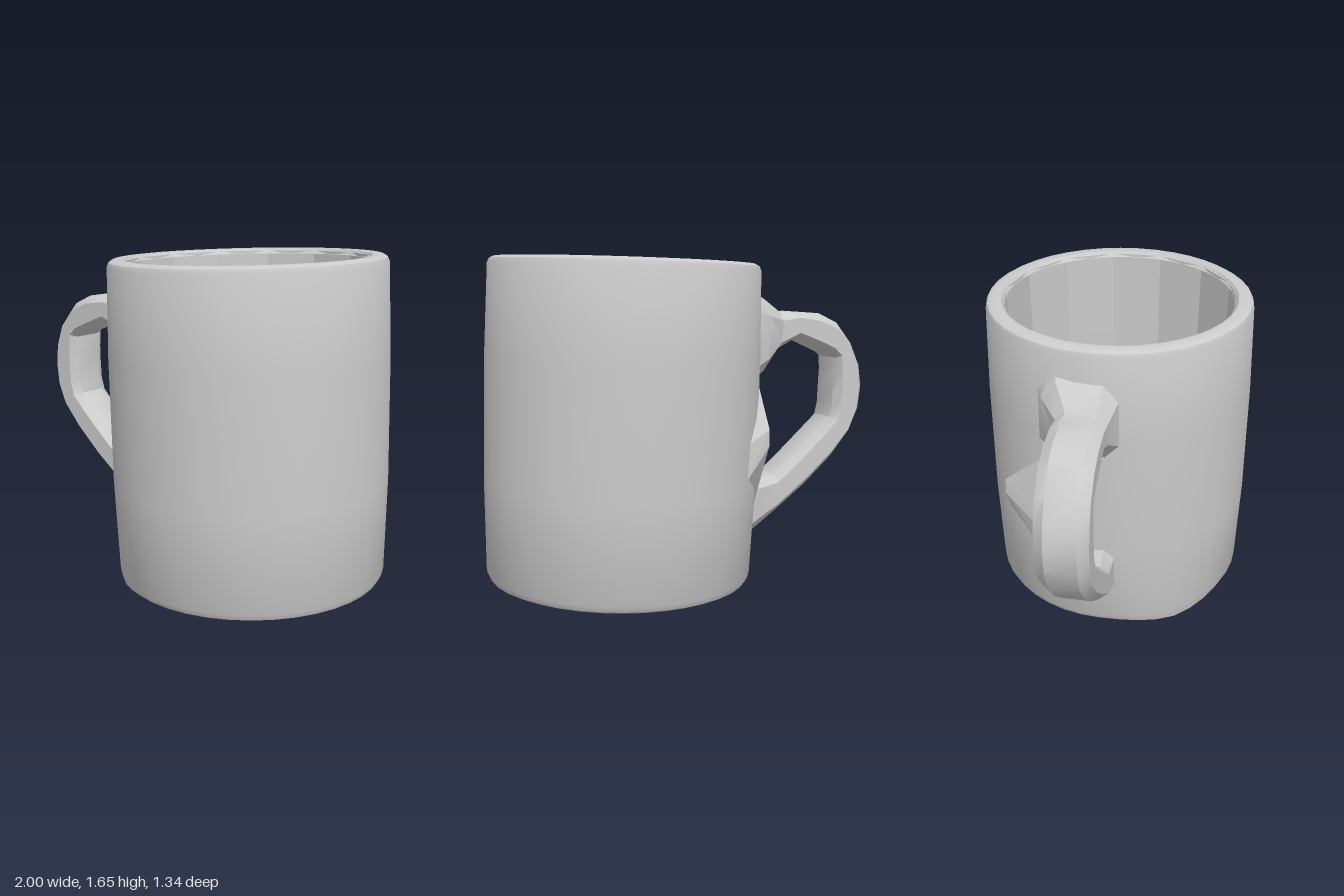
import * as THREE from 'three';
import { toCreasedNormals } from 'three/addons/utils/BufferGeometryUtils.js';
import { ConvexGeometry } from 'three/addons/geometries/ConvexGeometry.js';

const grey = new THREE.MeshStandardMaterial({ color: 0xcccccc });
const flatGrey = new THREE.MeshStandardMaterial({ color: 0xcccccc, flatShading: true });

function part(name, geometry, material = grey) {
  const mesh = new THREE.Mesh(geometry, material);
  mesh.name = name;
  return mesh;
}

const lathe = (profile, sides) =>
  new THREE.LatheGeometry(profile.map(([r, y]) => new THREE.Vector2(r, y)), sides);

const convex = points => new ConvexGeometry(points.map(p => new THREE.Vector3(...p)));

// Chamfered bar lofted through stations: [outerX, outerY, innerX, innerY, zBack, zFront]
function loftBar(stations) {
  const section = [[0, 0.2], [0, 0.8], [0.23, 1], [0.82, 1], [1, 0.82], [1, 0.18], [0.82, 0], [0.23, 0]];
  const n = section.length, positions = [], index = [];
  stations.forEach(([ox, oy, ix, iy, z0, z1], i) => {
    for (const [u, v] of section) {
      positions.push(ox + (ix - ox) * u, oy + (iy - oy) * u, z0 + (z1 - z0) * v);
    }
    if (i === 0) return;
    for (let j = 0; j < n; j++) {
      const k = (j + 1) % n, a = (i - 1) * n, b = i * n;
      index.push(a + j, b + j, a + k, a + k, b + j, b + k);
    }
  });
  const geometry = new THREE.BufferGeometry();
  geometry.setAttribute('position', new THREE.Float32BufferAttribute(positions, 3));
  geometry.setIndex(index);
  return toCreasedNormals(geometry, 0.6);
}

export function createModel() {
  const model = new THREE.Group();
  model.name = 'mug';

  // Slightly leaning cup
  const cup = new THREE.Group();
  cup.name = 'cup';
  cup.position.set(0.345, 0.06, 0);
  cup.rotation.z = 0.032;
  model.add(cup);

  // Outer wall, base and rounded rim
  const outer = lathe([
    [0, 0], [0.15, 0], [0.3, 0], [0.45, 0], [0.61, 0], [0.642, 0.015], [0.657, 0.045], [0.672, 0.5],
    [0.672, 1.1], [0.66, 1.535], [0.652, 1.555], [0.632, 1.567], [0.585, 1.565], [0.565, 1.54],
  ], 40);
  // Shallow sagging corner on the underside
  const pos = outer.attributes.position;
  for (let i = 0; i < pos.count; i++) {
    if (pos.getY(i) > 0.02) continue;
    const distance = Math.hypot(pos.getX(i) + 0.48, pos.getZ(i) - 0.355);
    pos.setY(i, pos.getY(i) - 0.047 * Math.max(0, 1 - distance / 0.33));
  }
  cup.add(part('outerWall', toCreasedNormals(outer, 0.6)));

  // Faceted inner wall and floor
  const inner = lathe([[0.58, 1.555], [0.572, 1.1], [0.56, 0.3], [0.51, 0.12], [0, 0.1]], 14);
  cup.add(part('innerWall', inner.toNonIndexed(), flatGrey));

  // Handle, flared where it meets the cup
  model.add(part('handle', loftBar([
    [-0.24, 1.5, -0.24, 1.0, -0.31, 0.14],
    [-0.37, 1.44, -0.37, 1.08, -0.25, 0.1],
    [-0.5, 1.37, -0.49, 1.185, -0.16, 0.08],
    [-0.6, 1.37, -0.6, 1.24, -0.16, 0.08],
    [-0.73, 1.36, -0.71, 1.19, -0.16, 0.08],
    [-0.84, 1.31, -0.8, 1.15, -0.16, 0.08],
    [-0.93, 1.2, -0.835, 1.125, -0.16, 0.08],
    [-0.985, 1.08, -0.83, 1.04, -0.16, 0.08],
    [-1, 0.97, -0.825, 0.95, -0.16, 0.08],
    [-0.985, 0.85, -0.822, 0.87, -0.16, 0.08],
    [-0.93, 0.73, -0.81, 0.81, -0.16, 0.08],
    [-0.82, 0.6, -0.72, 0.73, -0.16, 0.08],
    [-0.66, 0.46, -0.6, 0.625, -0.16, 0.08],
    [-0.48, 0.33, -0.48, 0.525, -0.16, 0.08],
    [-0.34, 0.255, -0.34, 0.525, -0.2, 0.08],
    [-0.22, 0.2, -0.22, 0.525, -0.26, 0.08],
  ])));

  // Rough facet on the back of the cup beside the handle
  model.add(part('wallFacet', convex([
    [-0.25, 0.83, -0.48], [-0.25, 0.75, -0.48], [-0.12, 0.58, -0.49], [-0.12, 0.75, -0.48],
    [-0.32, 1.07, -0.2], [-0.35, 0.63, -0.08], [-0.37, 0.53, -0.1],
    [-0.37, 0.44, -0.12], [-0.26, 0.42, -0.3], [-0.28, 0.6, 0.02],
  ]), flatGrey));

  return model;
}
